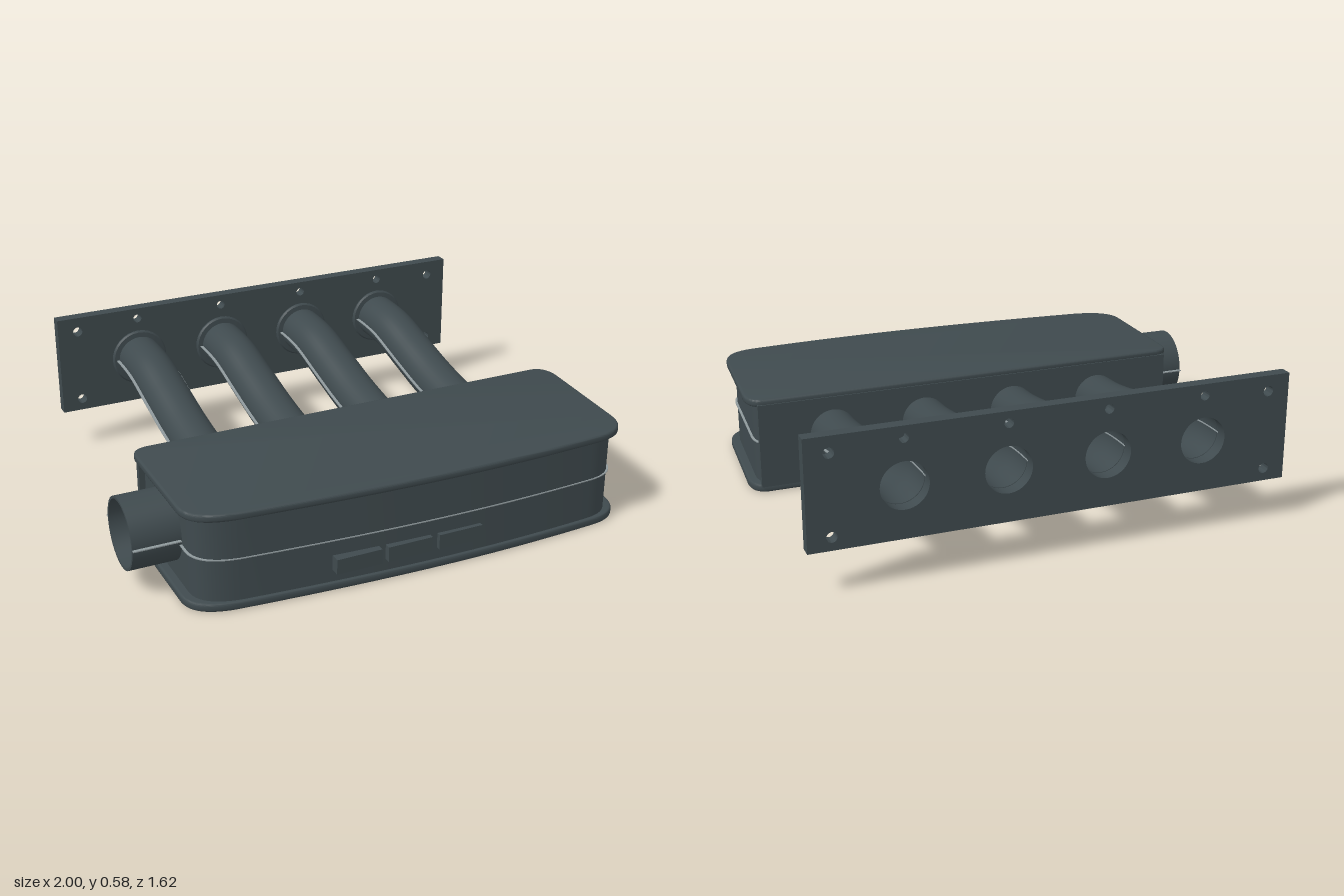
import * as THREE from 'three';
import { toCreasedNormals } from 'three/addons/utils/BufferGeometryUtils.js';

const PORTS = [-0.505, -0.122, 0.261, 0.644];
const PORT_Y = 0.365;

export function createModel() {
  const root = new THREE.Group();
  root.name = 'intakeManifold';

  const metal = new THREE.MeshStandardMaterial({ color: 0x3f4a4e, side: THREE.DoubleSide });
  metal.name = 'dark grey metal';
  const bead = new THREE.MeshStandardMaterial({ color: 0x8f999c, side: THREE.DoubleSide });
  bead.name = 'light grey seam';

  const add = (name, geometry, material = metal, parent = root) => {
    const mesh = new THREE.Mesh(geometry, material);
    mesh.name = name;
    parent.add(mesh);
    return mesh;
  };
  const box = (name, x0, x1, y0, y1, z0, z1, material, parent) => {
    const g = new THREE.BoxGeometry(x1 - x0, y1 - y0, z1 - z0);
    g.translate((x0 + x1) / 2, (y0 + y1) / 2, (z0 + z1) / 2);
    return add(name, g, material, parent);
  };

  // Plan outline of the plenum (x, z), scaled about its middle
  const outline = (k) => {
    const X = (x) => 0.065 + (x - 0.065) * k;
    const Z = (z) => 0.467 + (z - 0.467) * k;
    const s = new THREE.Shape();
    s.moveTo(X(-0.79), Z(0.125));
    s.lineTo(X(0.92), Z(0.125));
    s.quadraticCurveTo(X(0.985), Z(0.135), X(0.981), Z(0.23));
    s.lineTo(X(0.957), Z(0.64));
    s.quadraticCurveTo(X(0.95), Z(0.775), X(0.81), Z(0.785));
    s.bezierCurveTo(X(0.4), Z(0.815), X(0), Z(0.818), X(-0.68), Z(0.757));
    s.quadraticCurveTo(X(-0.85), Z(0.737), X(-0.85), Z(0.62));
    s.lineTo(X(-0.85), Z(0.19));
    s.quadraticCurveTo(X(-0.85), Z(0.13), X(-0.79), Z(0.125));
    return s;
  };
  const slab = (k, y0, y1, bevel = 0) => {
    const g = new THREE.ExtrudeGeometry(outline(k), {
      depth: y1 - y0 - 2 * bevel, curveSegments: 14, bevelEnabled: bevel > 0,
      bevelSize: bevel, bevelThickness: bevel, bevelOffset: -bevel, bevelSegments: 3,
    });
    g.rotateX(Math.PI / 2).translate(0, y1 - bevel, 0);
    return toCreasedNormals(g, 0.6);
  };

  // Plenum box with rolled lids, mid seam and rear plate
  const plenum = new THREE.Group();
  plenum.name = 'plenum';
  root.add(plenum);
  add('plenumBody', slab(0.962, 0.02, 0.37), metal, plenum);
  add('topLid', slab(1, 0.36, 0.39, 0.008), metal, plenum);
  add('bottomLid', slab(1, 0, 0.032, 0.008), metal, plenum);
  add('plenumSeam', slab(0.972, 0.199, 0.203), bead, plenum);
  box('rearPlate', -0.825, 0.945, 0.025, 0.37, 0.12, 0.145, metal, plenum);

  // Raised plates on the front face
  for (const x of [-0.227, -0.018, 0.193]) {
    box('frontBadge', x - 0.091, x + 0.091, 0.08, 0.14, 0.77, 0.81);
  }

  // Head flange with ports and bolt holes
  const plate = new THREE.Shape();
  plate.moveTo(-0.855, 0.165);
  plate.lineTo(0.995, 0.165);
  plate.lineTo(0.995, 0.585);
  plate.lineTo(-0.855, 0.585);
  plate.closePath();
  const drill = (x, y, r) => {
    const h = new THREE.Path();
    h.absarc(x, y, r, 0, Math.PI * 2, true);
    plate.holes.push(h);
  };
  for (const x of PORTS) {
    drill(x, PORT_Y, 0.09);
    drill(x, 0.54, 0.018);
  }
  for (const x of [-0.77, 0.907]) {
    drill(x, 0.523, 0.02);
    drill(x, 0.215, 0.02);
  }
  const plateGeo = new THREE.ExtrudeGeometry(plate, { depth: 0.048, bevelEnabled: false, curveSegments: 20 });
  plateGeo.translate(0, 0, -0.813);
  add('headFlange', toCreasedNormals(plateGeo, 0.6));

  // Runners: S-bent tubes from plenum to flange
  const bend = new THREE.CatmullRomCurve3([
    [0.14, 0.221], [0, 0.23], [-0.2, 0.262], [-0.4, 0.31], [-0.58, 0.355], [-0.68, 0.364], [-0.775, 0.365],
  ].map(([z, y]) => new THREE.Vector3(0, y, z)));
  const tubeGeo = new THREE.TubeGeometry(bend, 40, 0.094, 32);

  // Thin seam strip following the bend
  const line = bend.getPoints(30);
  const rib = new THREE.Shape([
    ...line.map((p) => new THREE.Vector2(-p.z, p.y - 0.002)),
    ...line.slice().reverse().map((p) => new THREE.Vector2(-p.z, p.y + 0.002)),
  ]);
  const ribGeo = new THREE.ExtrudeGeometry(rib, { depth: 0.014, bevelEnabled: false });
  ribGeo.rotateY(Math.PI / 2);

  // Weld collar where a runner meets the flange
  const collarGeo = new THREE.LatheGeometry(
    [[0.12, 0], [0.12, 0.006], [0.114, 0.012], [0.092, 0.014]].map(([r, h]) => new THREE.Vector2(r, h)), 32);
  collarGeo.rotateX(Math.PI / 2).translate(0, PORT_Y, -0.766);
  const collar = toCreasedNormals(collarGeo, 0.6);

  for (const x of PORTS) {
    const runner = new THREE.Group();
    runner.name = 'runner';
    runner.position.x = x;
    root.add(runner);
    add('runnerTube', tubeGeo, metal, runner);
    add('runnerCollar', collar, metal, runner);
    add('runnerSeam', ribGeo, bead, runner).position.x = 0.091;
    add('runnerSeam', ribGeo, bead, runner).position.x = -0.105;
  }

  // Hollow air inlet on the right side
  const inletGeo = new THREE.LatheGeometry(
    [[0.138, -0.2], [0.138, 0], [0.128, 0], [0.128, -0.2]].map(([r, h]) => new THREE.Vector2(r, h)), 40);
  inletGeo.rotateZ(Math.PI / 2).translate(-1, 0.222, 0.433);
  add('inletPipe', toCreasedNormals(inletGeo, 0.6));
  for (const s of [-1, 1]) {
    const z = 0.433 + s * 0.143;
    box('inletSeam', -1, -0.82, 0.22, 0.224, z - 0.008, z + 0.008, bead);
  }

  return root;
}
